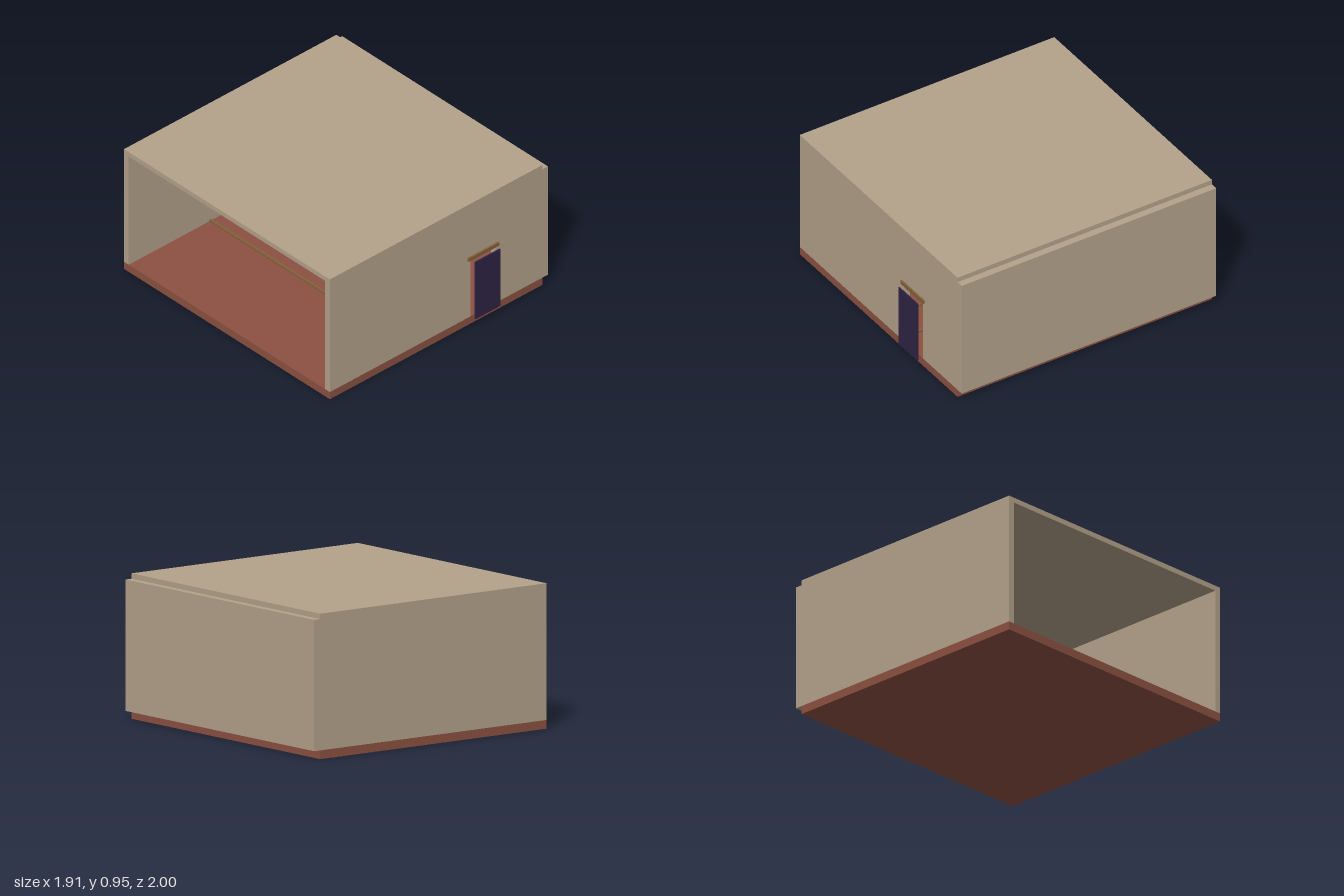
import * as THREE from 'three';

const material = (name, color) => {
  const m = new THREE.MeshStandardMaterial({ color });
  m.name = name;
  return m;
};

export function createModel() {
  const model = new THREE.Group();
  model.name = 'house';
  const plaster = material('beige plaster', 0xb4a28a);
  const clay = material('red clay floor', 0x8c5141);
  const wood = material('brown wood', 0x83603a);
  const doorPaint = material('dark purple', 0x2e2343);

  // Box given by its limits on each axis
  const box = (name, mat, [x0, x1], [y0, y1], [z0, z1]) => {
    const mesh = new THREE.Mesh(new THREE.BoxGeometry(x1 - x0, y1 - y0, z1 - z0), mat);
    mesh.position.set((x0 + x1) / 2, (y0 + y1) / 2, (z0 + z1) / 2);
    mesh.name = name;
    model.add(mesh);
  };

  const left = -0.955, right = 0.905, back = -1, front = 0.955;
  const floorTop = 0.057, wallTop = 0.915, thick = 0.045;

  box('floor', clay, [left, right], [0, floorTop], [back, front]);
  box('roof', plaster, [left, right], [wallTop, 0.95], [back, front]);
  box('backWall', plaster, [left, right], [floorTop, wallTop], [back, back + thick]);

  // Side wall stands outside the floor; the opposite side is open
  box('sideWall', plaster, [right, 0.955], [floorTop, wallTop], [back, front]);

  // Front wall with a doorway
  const door = { x0: 0.277, x1: 0.498, top: 0.507 };
  const outline = new THREE.Shape([
    [left, floorTop], [door.x0, floorTop], [door.x0, door.top], [door.x1, door.top],
    [door.x1, floorTop], [right, floorTop], [right, wallTop], [left, wallTop],
  ].map(([x, y]) => new THREE.Vector2(x, y)));
  const frontWall = new THREE.Mesh(
    new THREE.ExtrudeGeometry(outline, { depth: thick, bevelEnabled: false }), plaster);
  frontWall.position.z = front - thick;
  frontWall.name = 'frontWall';
  model.add(frontWall);

  // Door panel set off the wall, and the lintel above it
  box('door', doorPaint, [door.x0, door.x1], [floorTop, door.top], [0.991, 1]);
  box('lintel', wood, [0.25, 0.517], [door.top, 0.533], [front - 0.01, 0.967]);

  // Low strips running along the floor
  for (const x of [-0.24, 0, 0.24]) {
    box('floorStrip', wood, [x - 0.01, x + 0.01], [floorTop, floorTop + 0.012],
      [back + thick, front - thick]);
  }
  return model;
}
